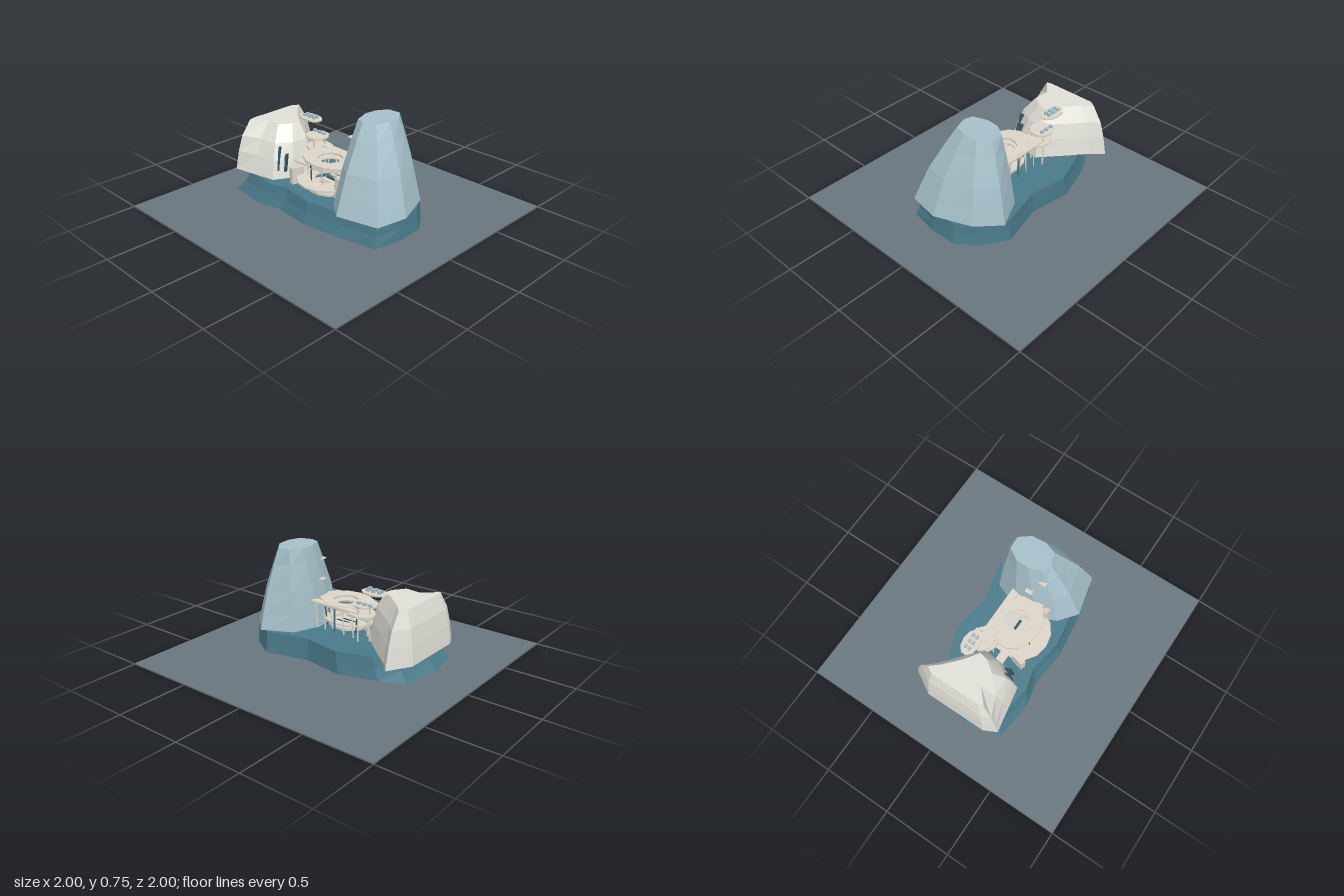
import * as THREE from 'three';

const mat = (color) => new THREE.MeshStandardMaterial({ color, flatShading: true, side: THREE.DoubleSide });

export function createModel() {
  const root = new THREE.Group();
  const ground = mat(0x68767e), teal = mat(0x4a7a8a), blue = mat(0xa6c0ca);
  const white = mat(0xe0dfd7), stone = mat(0xdcd5c8), dark = mat(0x355866);

  const add = (name, geometry, material, parent = root) => {
    const mesh = new THREE.Mesh(geometry, material);
    mesh.name = name;
    parent.add(mesh);
    return mesh;
  };
  const group = (name) => {
    const g = new THREE.Group();
    g.name = name;
    root.add(g);
    return g;
  };
  const box = (name, x, y, z, w, h, d, material, parent) => {
    const mesh = add(name, new THREE.BoxGeometry(w, h, d), material, parent);
    mesh.position.set(x, y, z);
    return mesh;
  };

  // Faceted rock: blends a lower outline into an upper one; levels are [height, blend]
  const rock = (lower, upper, levels) => {
    const rings = levels.map(([y, t]) => lower.map(([x, z], i) =>
      [x + (upper[i][0] - x) * t, y, z + (upper[i][1] - z) * t]));
    const out = [], n = lower.length;
    for (let r = 0; r < rings.length - 1; r++) {
      for (let i = 0; i < n; i++) {
        const j = (i + 1) % n, a = rings[r], b = rings[r + 1];
        out.push(...a[i], ...a[j], ...b[j], ...a[i], ...b[j], ...b[i]);
      }
    }
    for (const [ring, up] of [[rings[0], false], [rings.at(-1), true]]) {
      const flat = ring.map((p) => new THREE.Vector2(p[0], -p[2]));
      for (const [a, b, c] of THREE.ShapeUtils.triangulateShape(flat, [])) {
        const ccw = THREE.ShapeUtils.area([flat[a], flat[b], flat[c]]) > 0;
        out.push(...ring[a], ...ring[ccw === up ? b : c], ...ring[ccw === up ? c : b]);
      }
    }
    const geo = new THREE.BufferGeometry();
    geo.setAttribute('position', new THREE.Float32BufferAttribute(out, 3));
    geo.computeVertexNormals();
    return geo;
  };

  // Many-sided flat plate, optionally with a hole
  const oval = (x, z, rx, rz, n) => Array.from({ length: n }, (_, i) => {
    const a = (i + 0.5) / n * Math.PI * 2;
    return new THREE.Vector2(x + Math.cos(a) * rx, -z + Math.sin(a) * rz);
  });
  const plate = (name, y, thick, outline, hole, parent, material = stone) => {
    const shape = new THREE.Shape(outline);
    if (hole) shape.holes.push(new THREE.Path(hole));
    const geo = new THREE.ExtrudeGeometry(shape, { depth: thick, bevelEnabled: false });
    geo.rotateX(-Math.PI / 2);
    add(name, geo, material, parent).position.y = y;
  };
  const post = (a, b, r, material, parent) => add('post', new THREE.TubeGeometry(
    new THREE.LineCurve3(new THREE.Vector3(...a), new THREE.Vector3(...b)), 1, r, 5), material, parent);

  // Ground sheet
  box('ground', 0, 0.003, 0, 2, 0.006, 2, ground);

  // Plinth
  add('plinth', rock(
    [[-0.66, 0.35], [-0.38, 0.385], [-0.19, 0.345], [0.07, 0.375], [0.34, 0.34], [0.63, 0.28], [0.665, 0.08],
      [0.66, -0.11], [0.56, -0.25], [0.38, -0.36], [0.07, -0.285], [-0.23, -0.33], [-0.49, -0.25], [-0.66, -0.17], [-0.71, 0.1]],
    [[-0.56, 0.3], [-0.3, 0.335], [-0.17, 0.295], [0.07, 0.335], [0.3, 0.3], [0.6, 0.25], [0.65, 0.07],
      [0.64, -0.1], [0.55, -0.24], [0.38, -0.345], [0.07, -0.275], [-0.2, -0.32], [-0.44, -0.24], [-0.57, -0.16], [-0.6, 0.1]],
    [[0.035, 0], [0.11, 0.62], [0.187, 1]]), teal);

  // Low pale rock
  add('paleRock', rock(
    [[-0.67, 0.34], [-0.5, 0.31], [-0.34, 0.28], [-0.27, 0.15], [-0.25, -0.02],
      [-0.42, -0.17], [-0.55, -0.28], [-0.62, -0.36], [-0.715, -0.2], [-0.715, 0.25]],
    [[-0.64, 0.22], [-0.54, 0.13], [-0.43, 0.14], [-0.37, 0.06], [-0.36, 0],
      [-0.46, -0.07], [-0.56, -0.16], [-0.62, -0.23], [-0.65, -0.18], [-0.65, 0.18]],
    [[0.187, 0], [0.32, 0.2], [0.43, 0.46], [0.54, 1]]), white);

  // Tall blue rock
  add('tallRock', rock(
    [[0.35, 0.345], [0.64, 0.275], [0.68, 0.05], [0.58, -0.21], [0.43, -0.355], [0.22, -0.25], [0.15, -0.06], [0.16, 0.1], [0.22, 0.24]],
    [[0.33, 0.09], [0.42, 0.06], [0.45, -0.03], [0.44, -0.13], [0.38, -0.205], [0.29, -0.2], [0.24, -0.12], [0.235, -0.03], [0.27, 0.07]],
    [[0.187, 0], [0.3, 0.16], [0.45, 0.38], [0.64, 0.76], [0.752, 1]]), blue);

  // Stacked ring decks between the rocks
  const decks = group('decks');
  plate('upperRing', 0.378, 0.014, oval(0, 0.06, 0.205, 0.155, 14), oval(0, 0.05, 0.09, 0.085, 10), decks);
  plate('innerRing', 0.35, 0.01, oval(0, 0.05, 0.16, 0.13, 12), oval(0, 0.05, 0.075, 0.07, 10), decks);
  plate('lowerRing', 0.24, 0.012, oval(0, 0.11, 0.205, 0.18, 14), oval(0, 0.07, 0.1, 0.09, 10), decks);
  plate('floor', 0.19, 0.018, oval(0.02, 0.1, 0.15, 0.13, 12), null, decks);
  box('backBridge', 0, 0.383, -0.085, 0.4, 0.014, 0.05, stone, decks);
  box('leftLanding', 0.175, 0.37, 0.03, 0.06, 0.014, 0.2, stone, decks);
  box('rightLanding', -0.27, 0.3, 0.09, 0.13, 0.012, 0.06, stone, decks);
  box('midShelf', -0.12, 0.295, 0.06, 0.18, 0.012, 0.1, stone, decks);
  box('sideWall', -0.19, 0.25, 0.19, 0.04, 0.12, 0.09, stone, decks).rotation.y = -0.25;
  box('doorway', 0.19, 0.265, 0.13, 0.045, 0.15, 0.1, stone, decks).rotation.z = -0.15;
  for (let i = 0; i < 5; i++) {
    box('step', 0.01, 0.205 + i * 0.008, 0.14 - i * 0.035, 0.12, 0.008, 0.018, i % 2 ? dark : stone, decks);
  }

  // Slanted posts under the upper ring, and the back railing
  for (let i = 0; i < 10; i++) {
    const a = i / 10 * Math.PI * 2, c = Math.cos(a), s = Math.sin(a);
    post([c * 0.15, 0.19, 0.07 + s * 0.12], [c * 0.18, 0.38, 0.06 + s * 0.13], 0.005, i % 3 ? stone : dark, decks);
  }
  post([0, 0.19, -0.08], [0, 0.38, -0.08], 0.008, teal, decks);
  for (const x of [-0.16, -0.08, 0.08, 0.15]) post([x, 0.19, -0.08], [x + 0.01, 0.38, -0.085], 0.005, stone, decks);

  // Terraces climbing the pale rock, with small planters
  const terraces = group('terraces');
  plate('topTerrace', 0.548, 0.012, oval(-0.335, -0.085, 0.098, 0.06, 10), null, terraces);
  plate('middleTerrace', 0.442, 0.013, oval(-0.25, -0.065, 0.085, 0.085, 9), null, terraces);
  plate('lowTerrace', 0.37, 0.013, oval(-0.22, -0.06, 0.1, 0.09, 9), null, terraces);
  for (let i = 0; i < 6; i++) {
    const x = -0.38 + (i % 3) * 0.045, z = -0.1 + Math.floor(i / 3) * 0.03;
    box('planter', x, 0.568, z, 0.025, 0.016 + (i % 3) * 0.005, 0.016, blue, terraces);
    if (i < 3) box('planter', x + 0.07, 0.462, z, 0.025, 0.018, 0.02, blue, terraces);
  }
  for (const [x, z] of [[-0.28, -0.06], [-0.22, 0], [-0.22, -0.11]]) post([x, 0.19, z], [x, 0.445, z], 0.006, stone, terraces);

  // Tall slot windows on the pale rock
  for (const [x, y, z, h] of [[-0.35, 0.325, 0.2, 0.17], [-0.305, 0.3, 0.18, 0.12]]) {
    box('slotWindow', x, y, z, 0.012, h, 0.06, dark).rotation.set(-0.2, 0.5, 0.08);
  }

  // Balconies on the tall rock
  box('balcony', 0.265, 0.63, 0.09, 0.075, 0.008, 0.05, stone);
  box('balconyBracket', 0.26, 0.615, 0.09, 0.008, 0.03, 0.02, stone);
  box('balcony', 0.2, 0.51, 0.02, 0.06, 0.008, 0.05, stone);
  box('balcony', 0.25, 0.4, 0.12, 0.07, 0.01, 0.06, stone);
  return root;
}
